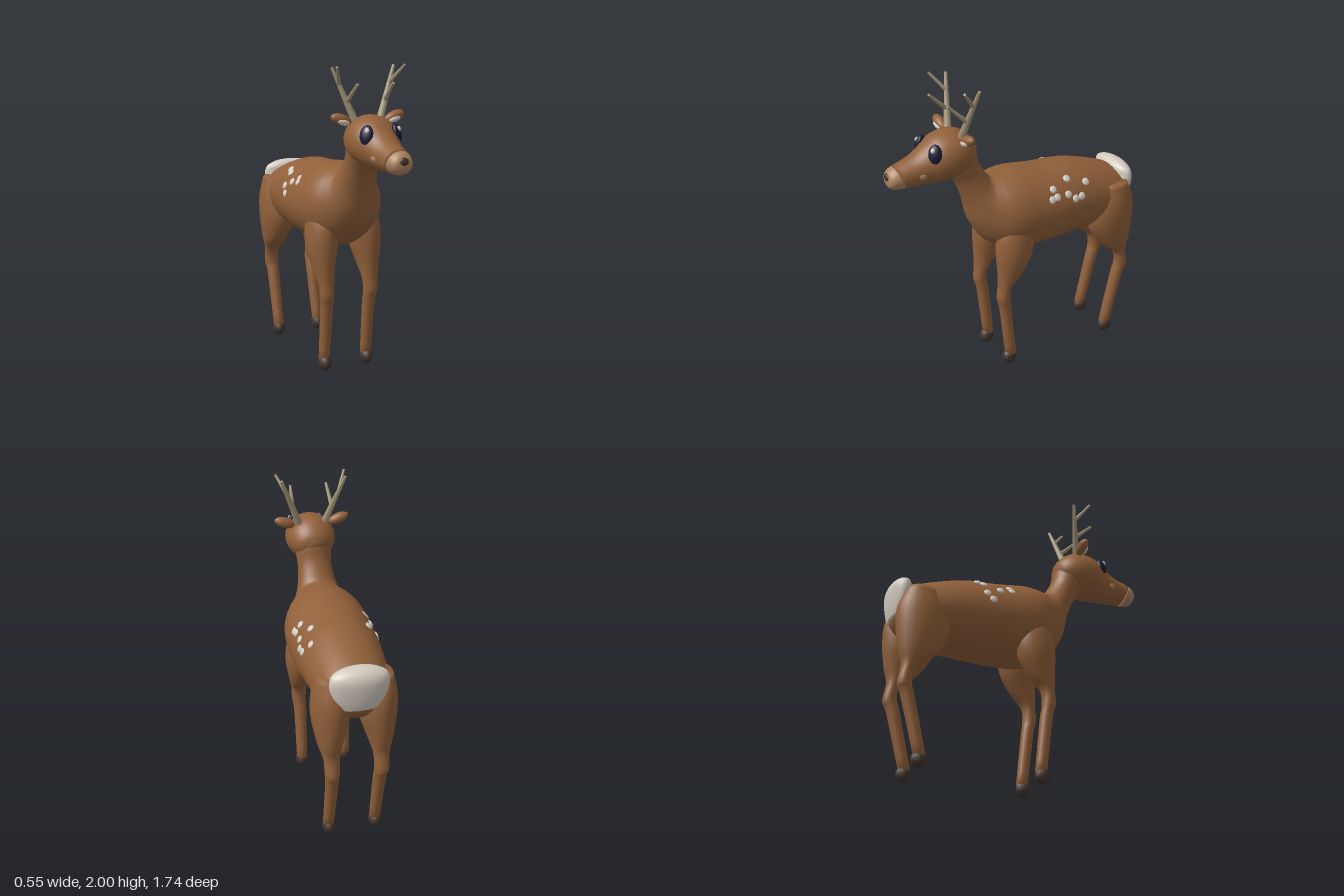
import * as THREE from 'three';

const mat = (name, color) => Object.assign(new THREE.MeshStandardMaterial({ color }), { name });

// Smooth closed loft. Section: [z, y of one edge, z, y of the opposite edge, half width, centre x]
function loft(sections, side = 1, steps = 5, segs = 28) {
  const curve = f => new THREE.CatmullRomCurve3(sections.map(f), false, 'catmullrom', 0.5);
  const edgeA = curve(s => new THREE.Vector3(0, s[1], s[0]));
  const edgeB = curve(s => new THREE.Vector3(0, s[3], s[2]));
  const width = curve(s => new THREE.Vector3(s[4], s[5] || 0, 0));
  const rows = (sections.length - 1) * steps;
  const pos = [], idx = [], centres = [];
  for (let i = 0; i <= rows; i++) {
    const a = edgeA.getPoint(i / rows), b = edgeB.getPoint(i / rows), w = width.getPoint(i / rows);
    const c = a.clone().add(b).multiplyScalar(0.5).setX(side * w.y);
    const h = a.clone().sub(b).multiplyScalar(0.5);
    centres.push(c);
    for (let j = 0; j < segs; j++) {
      const t = (j / segs) * Math.PI * 2;
      pos.push(c.x + w.x * Math.sin(t), c.y + h.y * Math.cos(t), c.z + h.z * Math.cos(t));
    }
  }
  for (let i = 0; i < rows; i++) for (let j = 0; j < segs; j++) {
    const k = (j + 1) % segs, p = i * segs, q = p + segs;
    idx.push(p + j, q + j, p + k, p + k, q + j, q + k);
  }
  // end caps
  const first = pos.length / 3, last = rows * segs;
  pos.push(...centres[0].toArray(), ...centres[rows].toArray());
  for (let j = 0; j < segs; j++) {
    const k = (j + 1) % segs;
    idx.push(first, j, k, first + 1, last + k, last + j);
  }
  const g = new THREE.BufferGeometry();
  g.setAttribute('position', new THREE.Float32BufferAttribute(pos, 3));
  g.setIndex(idx);
  g.computeVertexNormals();
  return g;
}

export function createModel() {
  const root = new THREE.Group();
  root.name = 'deer';
  const fur = mat('brown fur', 0x91603a);
  const white = mat('white fur', 0xd3cbbf);
  const tan = mat('tan muzzle', 0xae8462);
  const horn = mat('antler bone', 0x9f9074);
  const hoofMat = mat('dark hoof', 0x41332d);
  const eyeMat = mat('navy eye', 0x1b1b36);
  const noseMat = mat('dark nose', 0x4b3226);

  const add = (name, geo, material) => {
    const m = new THREE.Mesh(geo, material);
    m.name = name;
    root.add(m);
    return m;
  };
  // Ellipsoid whose local z points along dir
  const ball = (name, material, p, r, dir, seg = 18) => {
    const m = add(name, new THREE.SphereGeometry(1, seg, Math.round(seg * 0.7)), material);
    m.position.set(...p);
    m.scale.set(...r);
    if (dir) m.lookAt(p[0] + dir[0], p[1] + dir[1], p[2] + dir[2]);
    return m;
  };
  const rod = (name, a, b, r0, r1) => {
    const from = new THREE.Vector3(...a), to = new THREE.Vector3(...b), d = to.clone().sub(from);
    const m = add(name, new THREE.CylinderGeometry(r1, r0, d.length(), 8), horn);
    m.position.copy(from).add(to).multiplyScalar(0.5);
    m.quaternion.setFromUnitVectors(new THREE.Vector3(0, 1, 0), d.normalize());
  };

  // Torso running forward and bending up into the neck
  add('torsoAndNeck', loft([
    [-0.84, 1.12, -0.84, 1.02, 0.03], [-0.82, 1.18, -0.82, 0.95, 0.13],
    [-0.75, 1.215, -0.75, 0.88, 0.2], [-0.6, 1.27, -0.6, 0.83, 0.235],
    [-0.4, 1.322, -0.42, 0.82, 0.255], [-0.2, 1.335, -0.2, 0.81, 0.27],
    [0, 1.36, 0, 0.81, 0.27], [0.1, 1.355, 0.12, 0.84, 0.25],
    [0.16, 1.35, 0.23, 0.92, 0.2], [0.185, 1.355, 0.31, 1.05, 0.155],
    [0.215, 1.39, 0.35, 1.2, 0.125], [0.26, 1.47, 0.4, 1.33, 0.11],
    [0.285, 1.57, 0.46, 1.42, 0.115], [0.33, 1.64, 0.5, 1.5, 0.1],
  ], 1, 5, 36), fur);

  // Head and muzzle
  add('head', loft([
    [0.275, 1.57, 0.29, 1.5, 0.03], [0.3, 1.63, 0.32, 1.46, 0.1],
    [0.36, 1.685, 0.38, 1.42, 0.142], [0.44, 1.708, 0.46, 1.4, 0.16],
    [0.54, 1.69, 0.54, 1.395, 0.15], [0.62, 1.635, 0.62, 1.395, 0.115],
    [0.7, 1.585, 0.7, 1.395, 0.094], [0.815, 1.545, 0.77, 1.4, 0.082],
  ]), fur);
  add('muzzle', loft([
    [0.815, 1.545, 0.77, 1.4, 0.082], [0.845, 1.528, 0.825, 1.404, 0.07],
    [0.862, 1.505, 0.855, 1.42, 0.05], [0.867, 1.48, 0.866, 1.45, 0.015],
  ]), tan);
  ball('nose', noseMat, [0, 1.487, 0.858], [0.03, 0.025, 0.016]);

  // White rump and tail patch
  add('rumpPatch', loft([
    [-0.775, 1.25, -0.79, 1.25, 0.02], [-0.745, 1.238, -0.83, 1.238, 0.1],
    [-0.73, 1.21, -0.857, 1.21, 0.16], [-0.727, 1.17, -0.87, 1.17, 0.18],
    [-0.727, 1.12, -0.868, 1.11, 0.178], [-0.76, 1.05, -0.858, 1.04, 0.15],
    [-0.8, 0.99, -0.845, 0.985, 0.1],
  ]), white);

  for (const s of [1, -1]) {
    const side = s > 0 ? 'left' : 'right';
    // Legs, from shoulder or hip down to the hoof
    add(side + 'FrontLeg', loft([
      [0.12, 1.1, 0, 1.1, 0.05, 0.17], [0.185, 0.97, -0.06, 0.95, 0.1, 0.15],
      [0.2, 0.85, -0.04, 0.81, 0.1, 0.153], [0.195, 0.7, 0.03, 0.69, 0.07, 0.157],
      [0.195, 0.6, 0.105, 0.6, 0.052, 0.155], [0.202, 0.52, 0.112, 0.5, 0.046, 0.155],
      [0.18, 0.42, 0.1, 0.42, 0.041, 0.15], [0.14, 0.08, 0.065, 0.08, 0.035, 0.15],
    ], s), fur);
    add(side + 'HindLeg', loft([
      [-0.6, 1.15, -0.78, 1.15, 0.06, 0.17], [-0.52, 1.0, -0.835, 1.02, 0.115, 0.145],
      [-0.51, 0.86, -0.84, 0.88, 0.115, 0.145], [-0.6, 0.71, -0.82, 0.73, 0.08, 0.155],
      [-0.71, 0.62, -0.8, 0.63, 0.052, 0.155], [-0.73, 0.53, -0.818, 0.51, 0.046, 0.155],
      [-0.705, 0.43, -0.79, 0.43, 0.041, 0.15], [-0.625, 0.08, -0.7, 0.08, 0.035, 0.15],
    ], s), fur);
    for (const [name, z] of [['FrontHoof', 0.113], ['HindHoof', -0.665]])
      ball(side + name, hoofMat, [s * 0.15, 0.055, z], [0.042, 0.052, 0.052], null, 12);

    // Eyes, cheeks and ears
    ball(side + 'Eye', eyeMat, [s * 0.1, 1.608, 0.588], [0.042, 0.06, 0.026], [s * 0.72, 0.25, 0.6]);
    ball(side + 'EyeGlint', white, [s * 0.106, 1.638, 0.606], [0.014, 0.016, 0.01], [s * 0.6, 0.4, 0.6], 10);
    ball(side + 'CheekSpot', tan, [s * 0.092, 1.48, 0.67], [0.027, 0.021, 0.012], [s, -0.2, 0.25], 12);
    ball(side + 'Ear', fur, [s * 0.178, 1.682, 0.41], [0.07, 0.034, 0.034]).rotation.z = s * 0.35;
    ball(side + 'InnerEar', white, [s * 0.172, 1.67, 0.426], [0.045, 0.021, 0.023]).rotation.z = s * 0.3;

    // Antlers: main beam and two tines
    rod(side + 'AntlerBeam', [s * 0.085, 1.67, 0.405], [s * 0.207, 1.985, 0.343], 0.025, 0.01);
    rod(side + 'LowerTine', [s * 0.128, 1.78, 0.385], [s * 0.118, 1.895, 0.508], 0.015, 0.009);
    rod(side + 'UpperTine', [s * 0.168, 1.885, 0.364], [s * 0.225, 1.994, 0.452], 0.013, 0.008);
  }

  // Flank spots, given as [z, y] and set on the torso's curve
  const spots = {
    left: [[-0.175, 1.238], [-0.15, 1.185], [-0.19, 1.192], [-0.275, 1.19], [-0.3, 1.27],
      [-0.325, 1.153], [-0.375, 1.157], [-0.428, 1.23]],
    right: [[-0.335, 1.26], [-0.3, 1.245], [-0.29, 1.165], [-0.255, 1.12], [-0.2, 1.205],
      [-0.12, 1.215], [-0.13, 1.238]],
  };
  for (const [side, list] of Object.entries(spots)) for (const [z, y] of list) {
    const s = side === 'left' ? 1 : -1, v = (y - 1.073) / 0.263;
    const w = z < -0.2 ? 0.27 + (z + 0.2) * 0.075 : 0.27;
    const x = s * w * Math.sqrt(1 - v * v);
    ball(side + 'FlankSpot', white, [x, y, z], [0.025, 0.025, 0.011], [x / (w * w), v / 0.263, 0], 12);
  }
  return root;
}
